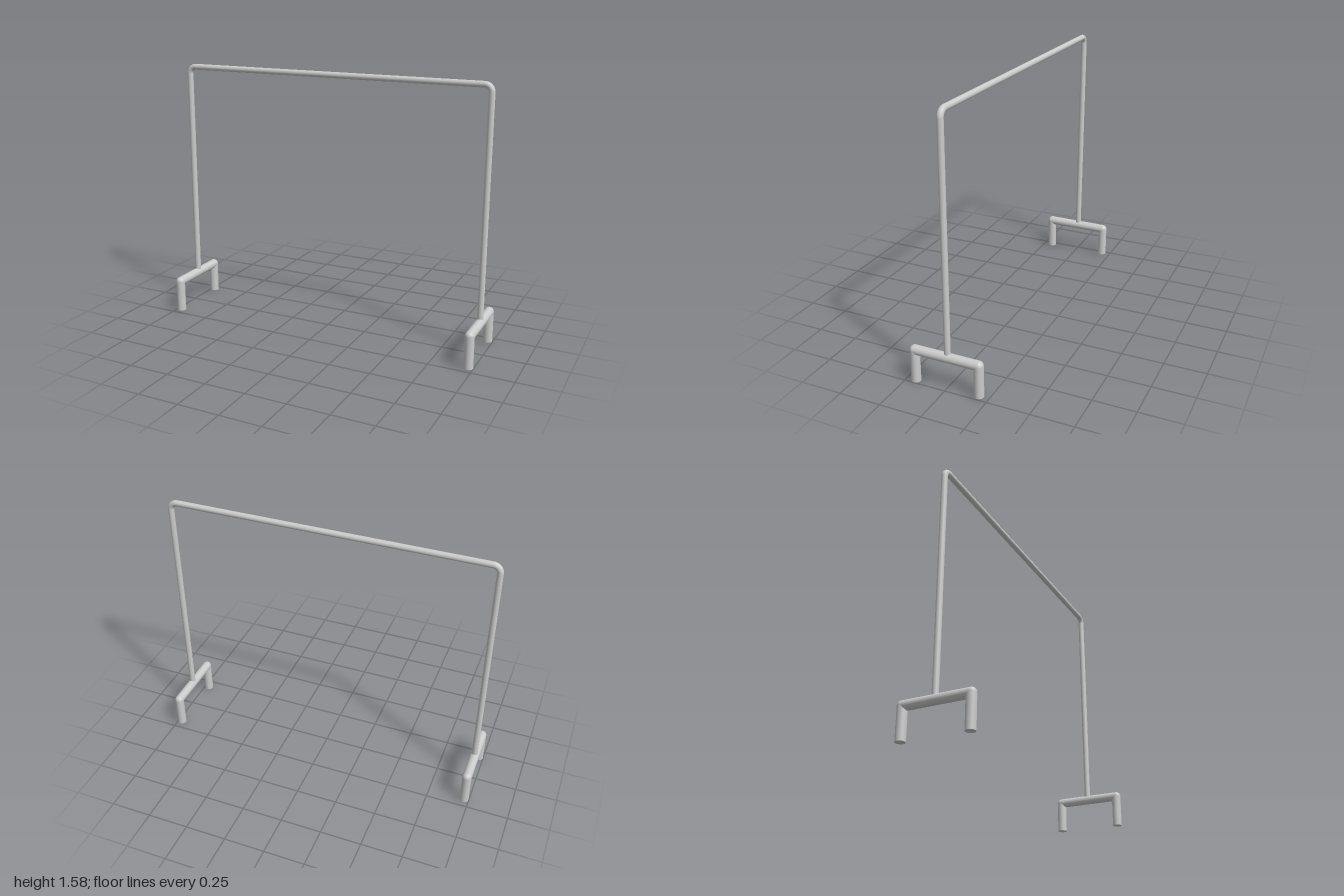
import * as THREE from 'three';

const material = new THREE.MeshStandardMaterial({ color: 0xcccccc });
const UP = new THREE.Vector3(0, 1, 0);

// Straight round bar between two points
function rod(name, from, to, radius) {
  const a = new THREE.Vector3(...from), b = new THREE.Vector3(...to);
  const dir = b.clone().sub(a);
  const mesh = new THREE.Mesh(new THREE.CylinderGeometry(radius, radius, dir.length(), 32), material);
  mesh.position.copy(a).add(b).multiplyScalar(0.5);
  mesh.quaternion.setFromUnitVectors(UP, dir.normalize());
  mesh.name = name;
  return mesh;
}

export function createModel() {
  const model = new THREE.Group();
  model.name = 'crossbarFrame';

  const footX = 0.971, footR = 0.028, footY = 0.194, legZ = 0.194;
  const poleX = 0.97, poleR = 0.018, barY = 1.562, bend = 0.042;
  const poleZ = -0.008, barZ = -0.015;

  for (const side of [-1, 1]) {
    const label = side > 0 ? 'left' : 'right';

    // Foot: a beam on two short legs with rounded corners
    const foot = new THREE.Group();
    foot.name = label + 'Foot';
    const x = side * footX;
    foot.add(rod('footBeam', [x, footY, -legZ], [x, footY, legZ], footR));
    for (const [end, floor] of [[1, 0], [-1, 0.005]]) {
      foot.add(rod('footLeg', [x, floor, end * legZ], [x, footY, end * legZ], footR));
      const corner = new THREE.Mesh(new THREE.SphereGeometry(footR, 32, 20), material);
      corner.position.set(x, footY, end * legZ);
      corner.name = 'footCorner';
      foot.add(corner);
    }
    model.add(foot);

    // Upright, leaning very slightly back
    const px = side * poleX;
    model.add(rod(label + 'Upright', [px, footY, poleZ], [px, barY - bend, barZ], poleR));

    // Bend from the upright into the crossbar
    const elbow = new THREE.Mesh(new THREE.TorusGeometry(bend, poleR, 32, 14, Math.PI / 2), material);
    elbow.position.set(px - side * bend, barY - bend, barZ);
    elbow.rotation.y = side > 0 ? 0 : Math.PI;
    elbow.name = label + 'Bend';
    model.add(elbow);
  }

  // Crossbar
  const half = poleX - bend;
  model.add(rod('crossbar', [-half, barY, barZ], [half, barY, barZ], poleR));
  return model;
}
